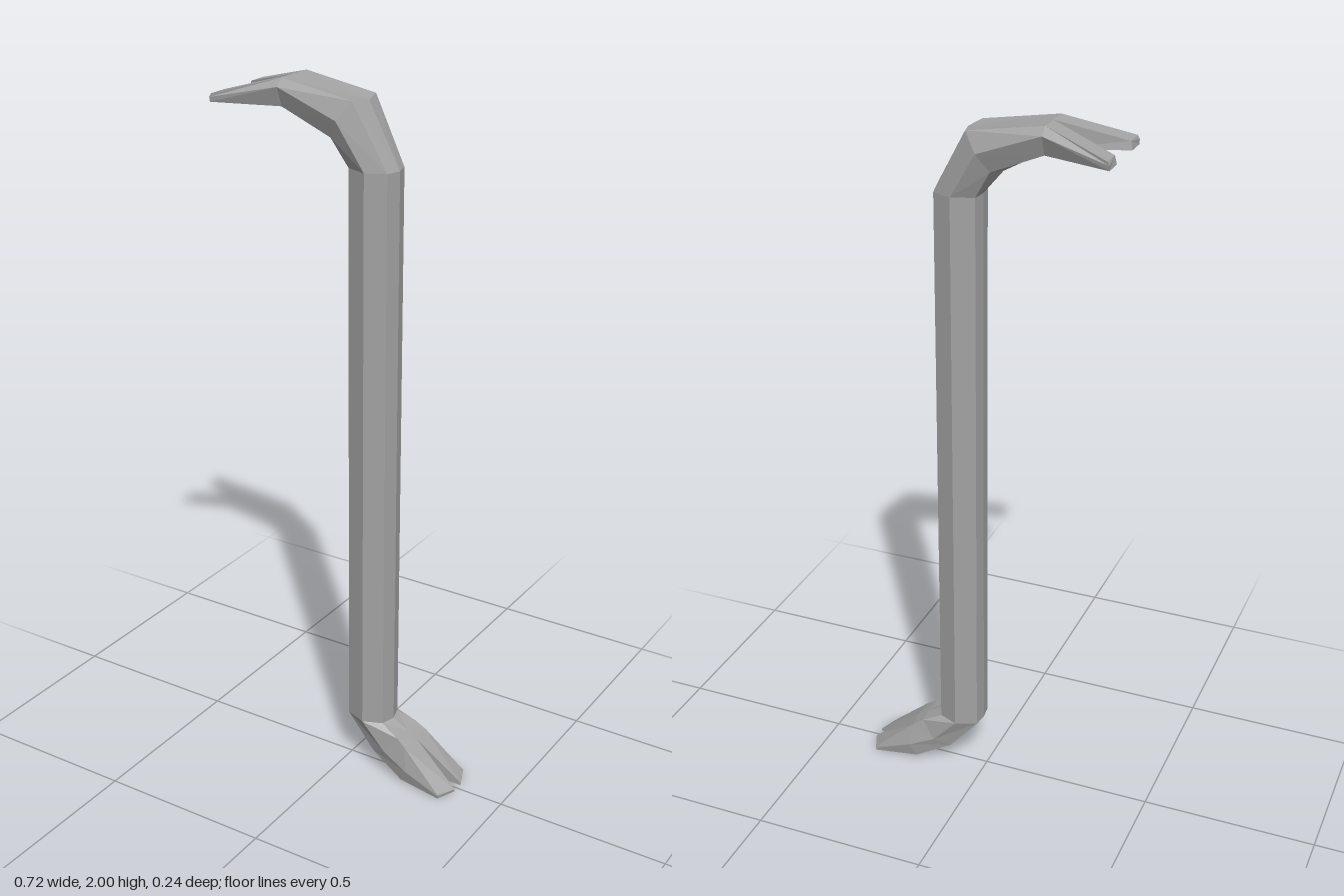
import * as THREE from 'three';

// Half sections (z >= 0), each five points [x, y, z]:
// outer ridge, outer corner, side, inner corner, inner ridge.
const clawTip = [[-0.355, 1.95, 0.062], [-0.355, 1.95, 0.117], [-0.36, 1.94, 0.118], [-0.36, 1.927, 0.116], [-0.36, 1.927, 0.06]];
const clawRoot = [[-0.175, 2, 0], [-0.175, 2, 0.057], [-0.175, 1.98, 0.08], [-0.175, 1.927, 0.06], [-0.175, 1.927, 0]];
const neck = [[0.05, 1.96, 0], [0.035, 1.965, 0.057], [0, 1.915, 0.08], [-0.03, 1.865, 0.056], [-0.045, 1.855, 0]];
const shaftAt = (y) => [[0.142, y, 0], [0.13, y, 0.042], [0.075, y, 0.065], [0.015, y, 0.042], [0.01, y, 0]];
const heel = [[0.19, 0.138, 0], [0.185, 0.14, 0.054], [0.148, 0.085, 0.063], [0.1, 0.065, 0.045], [0.095, 0.06, 0]];
const footRoot = [[0.222, 0.118, 0], [0.215, 0.12, 0.059], [0.225, 0.05, 0.073], [0.205, 0.01, 0.062], [0.2, 0.01, 0]];
const footTip = [[0.36, 0.008, 0.018], [0.335, 0.012, 0.075], [0.335, 0.006, 0.075], [0.334, 0, 0.074], [0.358, 0, 0.018]];

// Flat-faced skin through half sections, mirrored across z.
// Closed lofts also get the inner wall of the slot; caps close the ends.
function loft(sections, { closed = false, startCap = false, endCap = false } = {}) {
  const pos = [];
  const tri = (a, b, c) => {
    pos.push(...a, ...b, ...c);
    for (const p of [a, c, b]) pos.push(p[0], p[1], -p[2]);
  };
  for (let i = 0; i < sections.length - 1; i++) {
    const s = sections[i], t = sections[i + 1], n = s.length;
    for (let j = 0; j < (closed ? n : n - 1); j++) {
      const k = (j + 1) % n;
      tri(s[j], s[k], t[j]);
      tri(s[k], t[k], t[j]);
    }
  }
  const first = sections[0], last = sections[sections.length - 1];
  for (let j = 1; j < first.length - 1; j++) {
    if (startCap) tri(first[0], first[j + 1], first[j]);
    if (endCap) tri(last[0], last[j], last[j + 1]);
  }
  const geo = new THREE.BufferGeometry();
  geo.setAttribute('position', new THREE.Float32BufferAttribute(pos, 3));
  geo.computeVertexNormals();
  return geo;
}

export function createModel() {
  const steel = new THREE.MeshStandardMaterial({ color: 0xa3a3a3 });
  steel.name = 'steel';
  const group = new THREE.Group();
  group.name = 'pryBar';
  const add = (name, geo) => {
    const mesh = new THREE.Mesh(geo, steel);
    mesh.name = name;
    group.add(mesh);
  };

  // Split claw at the top
  add('clawProngs', loft([clawTip, clawRoot], { closed: true, startCap: true }));
  add('clawNeck', loft([clawRoot, neck, shaftAt(1.79)]));
  // Eight-sided bar
  add('shaft', loft([shaftAt(1.79), shaftAt(0.165)]));
  // Bent, notched wedge at the bottom
  add('heel', loft([shaftAt(0.165), heel, footRoot]));
  add('footProngs', loft([footRoot, footTip], { closed: true, endCap: true }));
  return group;
}
